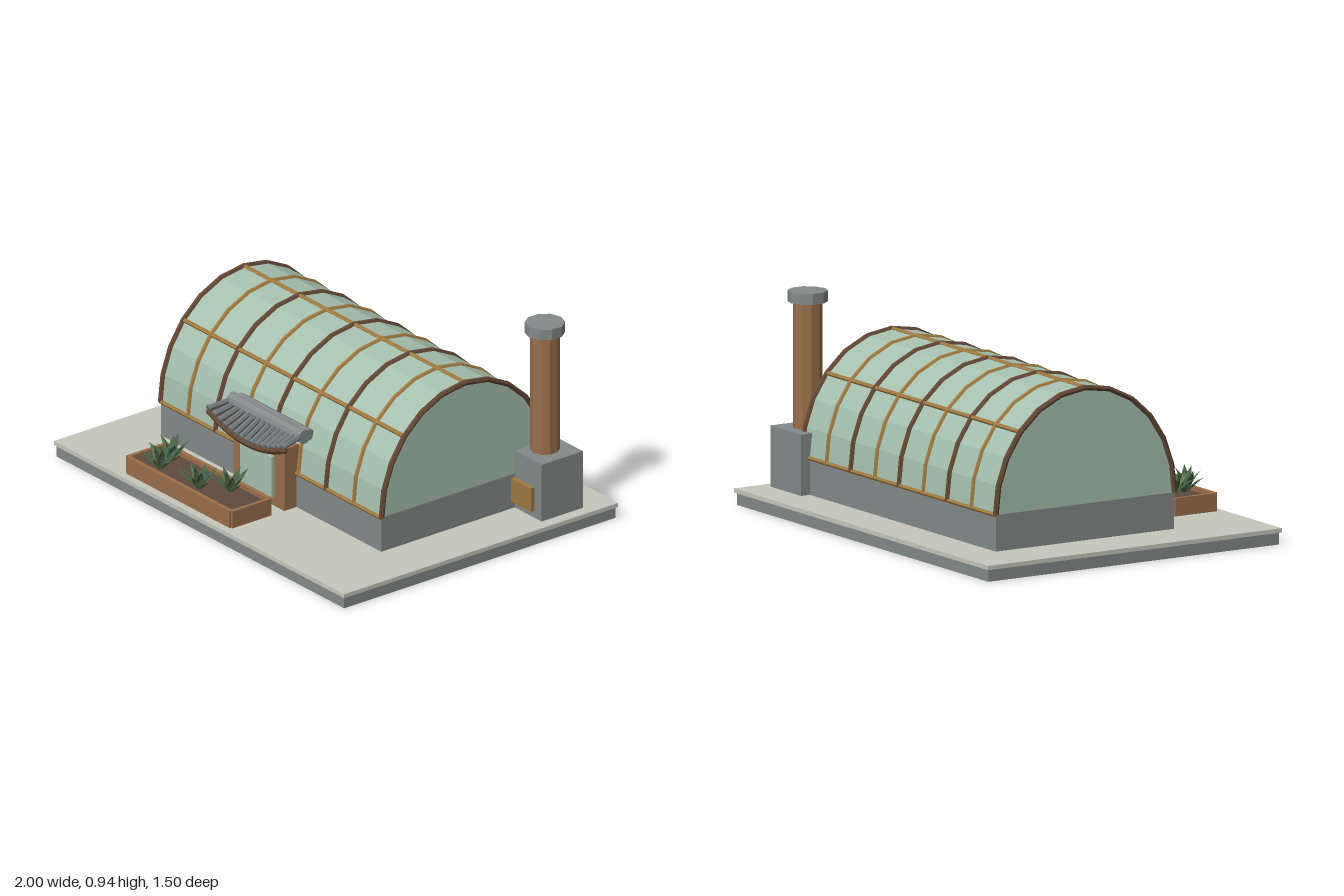
import * as THREE from 'three';

const mat = (name, color, extra = {}) => Object.assign(new THREE.MeshStandardMaterial({ color, flatShading: true, ...extra }), { name });

export function createModel() {
  const root = new THREE.Group();
  root.name = 'greenhouse';
  const stone = mat('stone grey', 0x838a89);
  const paving = mat('pale paving', 0xc6c8bc);
  const glass = mat('sage glass', 0xa6c0ae);
  const wood = mat('warm wood', 0x9a6e4a);
  const darkWood = mat('dark wood', 0x644836, { side: THREE.DoubleSide });
  const brass = mat('brass', 0xa07a42);
  const tile = mat('roof tile', 0x71797d);
  const soil = mat('soil', 0x5e4a40);
  const leafDark = mat('dark leaf', 0x48644a, { side: THREE.DoubleSide });
  const leafLight = mat('olive leaf', 0x617a4e, { side: THREE.DoubleSide });

  const add = (name, geometry, material, parent = root) => {
    const m = new THREE.Mesh(geometry, material);
    m.name = name;
    parent.add(m);
    return m;
  };
  // box given by its lower and upper limits on each axis
  const box = (name, material, [x0, x1], [y0, y1], [z0, z1], parent) => {
    const m = add(name, new THREE.BoxGeometry(x1 - x0, y1 - y0, z1 - z0), material, parent);
    m.position.set((x0 + x1) / 2, (y0 + y1) / 2, (z0 + z1) / 2);
    return m;
  };
  const bar = (name, material, radius, x0, x1, y, z, sides = 6, parent = root) => {
    const m = add(name, new THREE.CylinderGeometry(radius, radius, x1 - x0, sides), material, parent);
    m.rotation.z = Math.PI / 2;
    m.position.set((x0 + x1) / 2, y, z);
    return m;
  };
  const group = (name) => {
    const g = new THREE.Group();
    g.name = name;
    root.add(g);
    return g;
  };

  // Ground slab and low wall
  box('foundation', stone, [-0.99, 0.99], [0, 0.055], [-0.742, 0.742]);
  box('paving', paving, [-1, 1], [0.053, 0.072], [-0.75, 0.75]);
  box('lowWall', stone, [-0.76, 0.76], [0.07, 0.232], [-0.555, 0.355]);

  // Arched glass vault, its polygon shared with the ribs
  const CZ = -0.1, SPRING = 0.232, W = 0.455, H = 0.508;
  class Arch extends THREE.Curve {
    getPoint(t, target = new THREE.Vector3()) {
      const a = Math.PI * t;
      return target.set(0, SPRING + H * Math.sin(a), CZ + W * Math.cos(a));
    }
  }
  const arch = new Arch();
  const archPoints = arch.getSpacedPoints(12);
  const section = new THREE.Shape(archPoints.map((p) => new THREE.Vector2(-p.z, p.y)));
  const vault = new THREE.ExtrudeGeometry(section, { depth: 1.52, bevelEnabled: false });
  vault.translate(0, 0, -0.76).rotateY(Math.PI / 2);
  add('glassVault', vault, glass);

  // Ribs alternate between heavy wood and light brass
  const frame = group('vaultFrame');
  for (let i = 0; i <= 8; i++) {
    const heavy = i % 2 === 0;
    const rib = add(heavy ? 'mainRib' : 'thinRib',
      new THREE.TubeGeometry(arch, 12, heavy ? 0.0125 : 0.0105, 6), heavy ? darkWood : brass, frame);
    rib.position.x = -0.76 + i * 0.19;
  }
  for (const i of [0, 3, 6, 9, 12]) bar('purlin', brass, 0.01, -0.765, 0.765, archPoints[i].y, archPoints[i].z, 6, frame);

  // Stove block with chimney
  const stove = group('stove');
  box('stoveBlock', stone, [0.705, 0.945], [0.07, 0.34], [-0.6, -0.375], stove);
  box('stoveDoor', brass, [0.76, 0.895], [0.105, 0.215], [-0.38, -0.355], stove);
  add('chimney', new THREE.CylinderGeometry(0.064, 0.064, 0.56, 10), wood, stove).position.set(0.826, 0.615, -0.487);
  add('chimneyCap', new THREE.CylinderGeometry(0.087, 0.087, 0.048, 10), stone, stove).position.set(0.826, 0.915, -0.487);

  // Entrance with glazed door
  const entrance = group('entrance');
  box('doorFrame', wood, [-0.175, 0.175], [0.07, 0.363], [0.34, 0.422], entrance);
  box('doorPane', glass, [-0.107, 0.107], [0.115, 0.307], [0.42, 0.439], entrance);

  // Canopy roof: straight ridge, eave curving up at the ends
  const canopy = group('canopy');
  const roofPoint = (u, v) => new THREE.Vector3(
    u * (0.238 + 0.018 * v),
    0.435 - (0.075 - 0.058 * u * u) * Math.pow(v, 0.8),
    0.375 + 0.115 * v);
  const deck = new THREE.PlaneGeometry(1, 1, 14, 4);
  const dp = deck.attributes.position;
  for (let i = 0; i < dp.count; i++) {
    const p = roofPoint(dp.getX(i) * 2, 0.5 - dp.getY(i));
    dp.setXYZ(i, p.x, p.y - 0.006, p.z);
  }
  add('roofDeck', deck, darkWood, canopy);
  const path = (n, f) => new THREE.CatmullRomCurve3(Array.from({ length: n + 1 }, (_, i) => f(i / n)));
  const lift = (p, y) => p.setY(p.y + y);
  for (let i = 0; i <= 14; i++) {
    const u = -1 + i / 7;
    const row = path(4, (t) => lift(roofPoint(u, t), 0.006));
    add('tileRow', new THREE.TubeGeometry(row, 4, 0.012, 6), tile, canopy);
    const cap = add('tileEnd', new THREE.CylinderGeometry(0.014, 0.014, 0.014, 8), tile, canopy);
    cap.rotation.x = Math.PI / 2 + 0.35;
    cap.position.copy(lift(roofPoint(u, 1), 0.006));
  }
  const eave = path(14, (t) => lift(roofPoint(t * 2 - 1, 0.98), -0.012));
  add('eaveBeam', new THREE.TubeGeometry(eave, 14, 0.016, 6), darkWood, canopy);
  for (const s of [-1, 1]) {
    const end = add('eaveEnd', new THREE.SphereGeometry(0.017, 6, 4), darkWood, canopy);
    end.position.copy(lift(roofPoint(s, 0.98), -0.012));
  }
  bar('ridge', stone, 0.033, -0.25, 0.25, 0.434, 0.37, 10, canopy);
  bar('backRidge', stone, 0.026, -0.24, 0.24, 0.43, 0.335, 8, canopy);

  // Planter trough
  const planter = group('planter');
  for (const z of [0.488, 0.698]) box('longBoard', wood, [-0.54, 0.17], [0.075, 0.154], [z, z + 0.02], planter);
  for (const x of [-0.553, 0.163]) box('endBoard', wood, [x, x + 0.018], [0.075, 0.154], [0.496, 0.71], planter);
  box('soilBed', soil, [-0.54, 0.17], [0.075, 0.135], [0.5, 0.705], planter);

  // Folded leaf blade growing along +y, built as three short rows
  const blade = (length, width) => {
    const rows = [[0, 0.35, 0], [0.45, 1, 0.02], [0.75, 0.75, 0.1], [1, 0.02, 0.24]];
    const pos = [], index = [];
    rows.forEach(([y, w, bend], r) => {
      for (const s of [-1, 0, 1])
        pos.push(s * w * width / 2, y * length, bend * length + (s ? 0.25 * w * width : 0));
      if (r) for (const k of [0, 1]) {
        const a = (r - 1) * 3 + k;
        index.push(a, a + 1, a + 4, a, a + 4, a + 3);
      }
    });
    const g = new THREE.BufferGeometry();
    g.setAttribute('position', new THREE.Float32BufferAttribute(pos, 3));
    g.setIndex(index);
    g.computeVertexNormals();
    return g;
  };
  let seed = 7;
  const rnd = () => (seed = (seed * 16807) % 2147483647) / 2147483647;
  for (const [px, pz] of [[-0.42, 0.57], [-0.385, 0.655], [-0.125, 0.65], [-0.015, 0.565]]) {
    const plant = group('plant');
    plant.position.set(px, 0.133, pz);
    for (let i = 0; i < 13; i++) {
      const leaf = add('leaf', blade(0.1 + rnd() * 0.03, 0.03), i % 3 === 2 ? leafLight : leafDark, plant);
      leaf.rotation.order = 'YXZ';
      leaf.rotation.y = i * 2.4 + rnd() * 0.4;
      leaf.rotation.x = 0.1 + 0.65 * (i / 12);
    }
  }
  return root;
}
